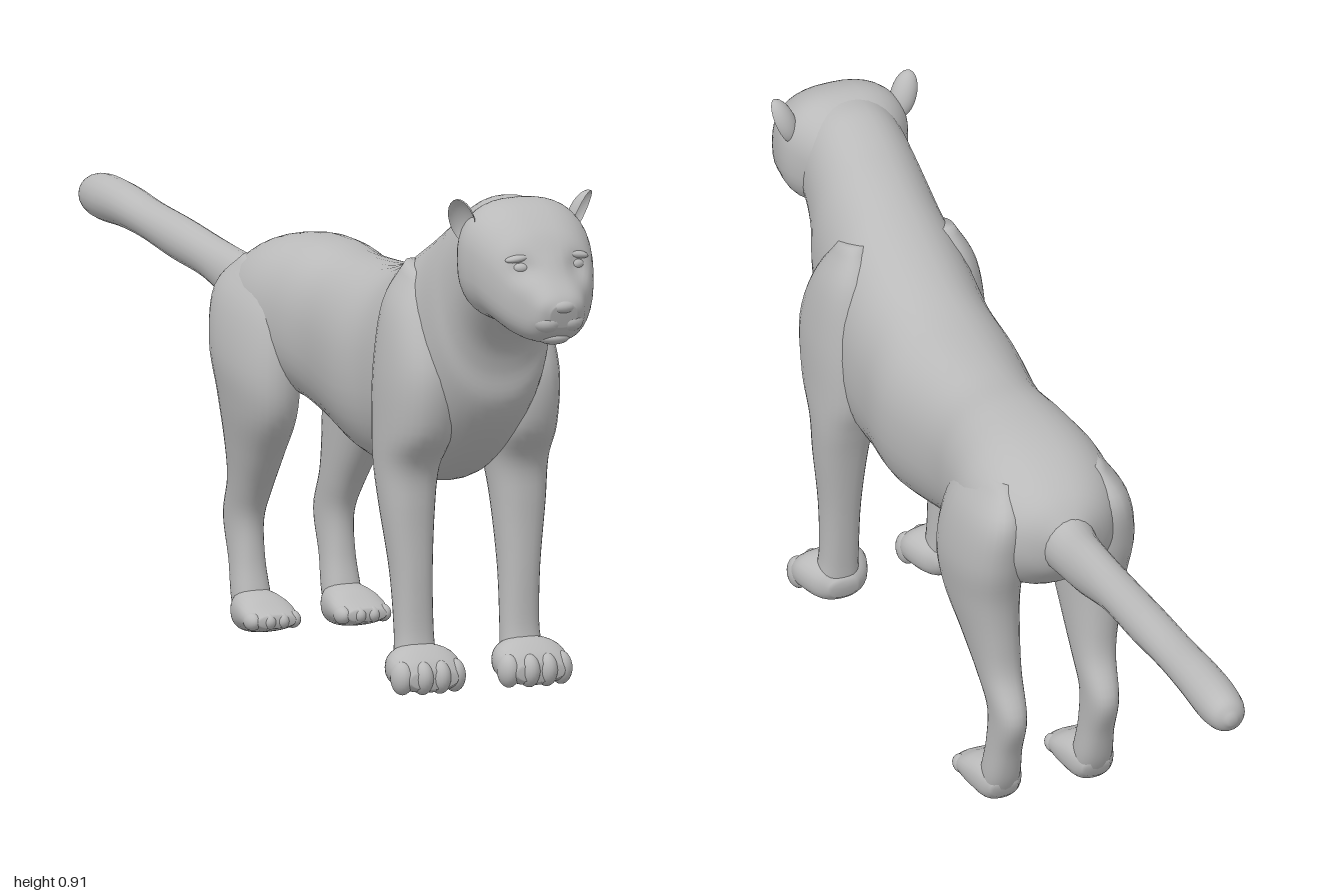
import * as THREE from 'three';

const grey = new THREE.MeshStandardMaterial({ color: 0xbababa, side: THREE.DoubleSide });
grey.name = 'plain grey';

// Smooth loft. Each section: [z1, y1, z2, y2, xCentre, halfWidth], where
// (z1,y1) and (z2,y2) are opposite edges of an oval ring.
function loft(sections, { around = 28, steps = 5, square = 0.88, warp } = {}) {
  const curve = (f) => new THREE.CatmullRomCurve3(sections.map(f), false, 'catmullrom', 0.5);
  const edgeA = curve((s) => new THREE.Vector3(s[4], s[1], s[0]));
  const edgeB = curve((s) => new THREE.Vector3(s[4], s[3], s[2]));
  const width = curve((s) => new THREE.Vector3(s[5], 0, 0));
  const rings = (sections.length - 1) * steps;
  const pos = [], index = [];
  const bend = (c) => Math.sign(c) * Math.abs(c) ** square;
  for (let i = 0; i <= rings; i++) {
    const a = edgeA.getPoint(i / rings), b = edgeB.getPoint(i / rings);
    const w = width.getPoint(i / rings).x;
    const mid = a.clone().add(b).multiplyScalar(0.5), half = a.clone().sub(mid);
    for (let j = 0; j < around; j++) {
      const t = (j / around) * Math.PI * 2;
      const p = mid.clone().addScaledVector(half, bend(Math.sin(t)));
      p.x += w * bend(Math.cos(t));
      if (warp) warp(p);
      pos.push(p.x, p.y, p.z);
      if (i < rings) {
        const k = i * around + j, n = i * around + ((j + 1) % around);
        index.push(k, n, k + around, n, n + around, k + around);
      }
    }
  }
  // Rounded-over end caps
  for (const [ring, flip] of [[0, true], [rings, false]]) {
    const c = new THREE.Vector3();
    for (let j = 0; j < around; j++) c.add(new THREE.Vector3().fromArray(pos, (ring * around + j) * 3));
    c.divideScalar(around);
    const id = pos.length / 3;
    pos.push(c.x, c.y, c.z);
    for (let j = 0; j < around; j++) {
      const k = ring * around + j, n = ring * around + ((j + 1) % around);
      index.push(id, flip ? n : k, flip ? k : n);
    }
  }
  // Turn the faces outward if the enclosed volume is negative
  const v = (k) => new THREE.Vector3().fromArray(pos, k * 3);
  let volume = 0;
  for (let i = 0; i < index.length; i += 3) volume += v(index[i]).dot(v(index[i + 1]).cross(v(index[i + 2])));
  if (volume < 0) index.reverse();
  const g = new THREE.BufferGeometry();
  g.setAttribute('position', new THREE.Float32BufferAttribute(pos, 3));
  g.setIndex(index);
  g.computeVertexNormals();
  return g;
}

function add(parent, name, geometry) {
  const m = new THREE.Mesh(geometry, grey);
  m.name = name;
  parent.add(m);
  return m;
}

function blob(parent, name, [x, y, z], [rx, ry, rz]) {
  const m = add(parent, name, new THREE.SphereGeometry(1, 20, 14));
  m.position.set(x, y, z);
  m.scale.set(rx, ry, rz);
  return m;
}

// Mirror the x centre of each section to the chosen side
const onSide = (s, rows) => rows.map(([a, b, c, d, x, w]) => [a, b, c, d, s * x, w]);

function buildHead() {
  const head = new THREE.Group();
  head.name = 'head';
  // Eye sockets pressed into the face
  const sockets = (p) => {
    if (p.z < 0.85) return;
    const dx = (Math.abs(p.x) - 0.05) / 0.024, dy = (p.y - 0.798) / 0.022;
    p.z -= 0.014 * Math.exp(-dx * dx - dy * dy);
  };
  add(head, 'skull', loft([
    [0.72, 0.87, 0.74, 0.71, 0, 0.08], [0.79, 0.906, 0.8, 0.69, 0, 0.117],
    [0.85, 0.9, 0.855, 0.686, 0, 0.115], [0.905, 0.865, 0.9, 0.672, 0, 0.099],
    [0.94, 0.822, 0.93, 0.667, 0, 0.08], [0.965, 0.785, 0.955, 0.67, 0, 0.058],
    [0.988, 0.757, 0.974, 0.685, 0, 0.043], [0.997, 0.74, 0.985, 0.7, 0, 0.025],
  ], { around: 40, steps: 7, square: 0.8, warp: sockets }));
  blob(head, 'nose', [0, 0.737, 0.981], [0.027, 0.014, 0.019]);
  blob(head, 'chin', [0, 0.678, 0.947], [0.03, 0.014, 0.026]);
  for (const s of [-1, 1]) {
    blob(head, 'muzzlePad', [s * 0.021, 0.708, 0.962], [0.028, 0.021, 0.028]);
    blob(head, 'eye', [s * 0.052, 0.801, 0.921], [0.018, 0.011, 0.014]);
    const brow = blob(head, 'brow', [s * 0.055, 0.818, 0.918], [0.026, 0.008, 0.014]);
    brow.rotation.z = -s * 0.15;
    // Cupped ear opening forward and outward
    const bowl = new THREE.SphereGeometry(1, 24, 10, 0, Math.PI * 2, 0, Math.PI / 2);
    bowl.rotateX(-Math.PI / 2);
    bowl.scale(0.024, 0.045, 0.022);
    const ear = add(head, 'ear', bowl);
    ear.position.set(s * 0.116, 0.872, 0.812);
    ear.rotation.set(0.4, s * 0.75, -s * 0.12, 'YXZ');
  }
  return head;
}

function buildFrontLeg(s) {
  const leg = new THREE.Group();
  leg.name = s > 0 ? 'leftFrontLeg' : 'rightFrontLeg';
  add(leg, 'shoulderAndLeg', loft(onSide(s, [
    [0.6, 0.745, 0.53, 0.765, 0.085, 0.02], [0.65, 0.665, 0.49, 0.695, 0.094, 0.05],
    [0.685, 0.57, 0.475, 0.58, 0.1, 0.062], [0.67, 0.47, 0.475, 0.47, 0.1, 0.064],
    [0.62, 0.4, 0.495, 0.4, 0.106, 0.056], [0.613, 0.32, 0.513, 0.33, 0.108, 0.048],
    [0.613, 0.21, 0.535, 0.21, 0.105, 0.037], [0.613, 0.11, 0.55, 0.1, 0.103, 0.035],
    [0.62, 0.06, 0.555, 0.05, 0.104, 0.038], [0.62, 0.02, 0.56, 0.02, 0.104, 0.034],
  ])));
  add(leg, 'paw', loft(onSide(s, [
    [0.548, 0.055, 0.555, 0.02, 0.104, 0.025], [0.575, 0.08, 0.575, 0.006, 0.104, 0.052],
    [0.62, 0.086, 0.62, 0.003, 0.104, 0.068], [0.655, 0.066, 0.655, 0.005, 0.104, 0.062],
    [0.672, 0.045, 0.672, 0.013, 0.104, 0.045],
  ])));
  for (let i = 0; i < 4; i++) {
    const out = Math.abs(i - 1.5);
    blob(leg, 'toe', [s * (0.104 + (i - 1.5) * 0.034), 0.032, 0.662 - out * 0.012], [0.0195, 0.03, 0.026]);
  }
  return leg;
}

function buildHindLeg(s) {
  const leg = new THREE.Group();
  leg.name = s > 0 ? 'leftHindLeg' : 'rightHindLeg';
  add(leg, 'thighAndHock', loft(onSide(s, [
    [-0.01, 0.665, -0.16, 0.675, 0.085, 0.02], [0.03, 0.58, -0.215, 0.62, 0.1, 0.05],
    [0.045, 0.48, -0.21, 0.53, 0.105, 0.062], [0.03, 0.4, -0.187, 0.44, 0.102, 0.056],
    [-0.03, 0.325, -0.18, 0.35, 0.095, 0.045], [-0.085, 0.255, -0.185, 0.28, 0.09, 0.036],
    [-0.113, 0.2, -0.218, 0.205, 0.088, 0.03], [-0.113, 0.13, -0.19, 0.125, 0.088, 0.03],
    [-0.1, 0.07, -0.17, 0.06, 0.088, 0.034], [-0.09, 0.03, -0.15, 0.02, 0.088, 0.032],
  ])));
  add(leg, 'paw', loft(onSide(s, [
    [-0.165, 0.055, -0.152, 0.018, 0.088, 0.024], [-0.13, 0.08, -0.13, 0.003, 0.088, 0.042],
    [-0.08, 0.074, -0.08, 0.007, 0.088, 0.052], [-0.045, 0.056, -0.045, 0.014, 0.088, 0.05],
    [-0.022, 0.044, -0.022, 0.022, 0.088, 0.036],
  ])));
  for (let i = 0; i < 4; i++) {
    const out = Math.abs(i - 1.5);
    blob(leg, 'toe', [s * (0.088 + (i - 1.5) * 0.026), 0.033, -0.034 - out * 0.008], [0.0145, 0.016, 0.022]);
  }
  return leg;
}

export function createModel() {
  const cat = new THREE.Group();
  cat.name = 'bigCat';
  // Rump, belly, chest and neck in one skin
  add(cat, 'torsoAndNeck', loft([
    [-0.265, 0.61, -0.25, 0.535, 0, 0.025], [-0.22, 0.665, -0.22, 0.5, 0, 0.09],
    [-0.15, 0.702, -0.17, 0.46, 0, 0.128], [-0.07, 0.72, -0.07, 0.44, 0, 0.138],
    [0.03, 0.722, 0.04, 0.43, 0, 0.125], [0.14, 0.712, 0.14, 0.405, 0, 0.117],
    [0.3, 0.717, 0.3, 0.368, 0, 0.138], [0.4, 0.738, 0.42, 0.358, 0, 0.133],
    [0.48, 0.77, 0.51, 0.358, 0, 0.135], [0.54, 0.8, 0.6, 0.4, 0, 0.13],
    [0.58, 0.822, 0.68, 0.465, 0, 0.12], [0.63, 0.85, 0.725, 0.525, 0, 0.113],
    [0.68, 0.88, 0.735, 0.585, 0, 0.104], [0.74, 0.903, 0.755, 0.635, 0, 0.098],
    [0.8, 0.903, 0.81, 0.695, 0, 0.095],
  ], { around: 40, square: 0.9 }));
  // Tail, thick at the root with a rounded tip
  add(cat, 'tail', loft([
    [-0.18, 0.66, -0.18, 0.51, 0, 0.06], [-0.26, 0.632, -0.26, 0.525, 0, 0.047],
    [-0.35, 0.64, -0.35, 0.538, 0, 0.04], [-0.476, 0.652, -0.476, 0.574, 0, 0.037],
    [-0.61, 0.668, -0.61, 0.59, 0, 0.038], [-0.74, 0.68, -0.74, 0.61, 0, 0.038],
    [-0.84, 0.694, -0.84, 0.617, 0, 0.04], [-0.93, 0.7, -0.93, 0.617, 0, 0.04],
    [-0.98, 0.692, -0.98, 0.627, 0, 0.032], [-1.0, 0.668, -1.0, 0.65, 0, 0.009],
  ], { around: 20, square: 1 }));
  cat.add(buildHead());
  for (const s of [-1, 1]) cat.add(buildFrontLeg(s), buildHindLeg(s));
  return cat;
}
